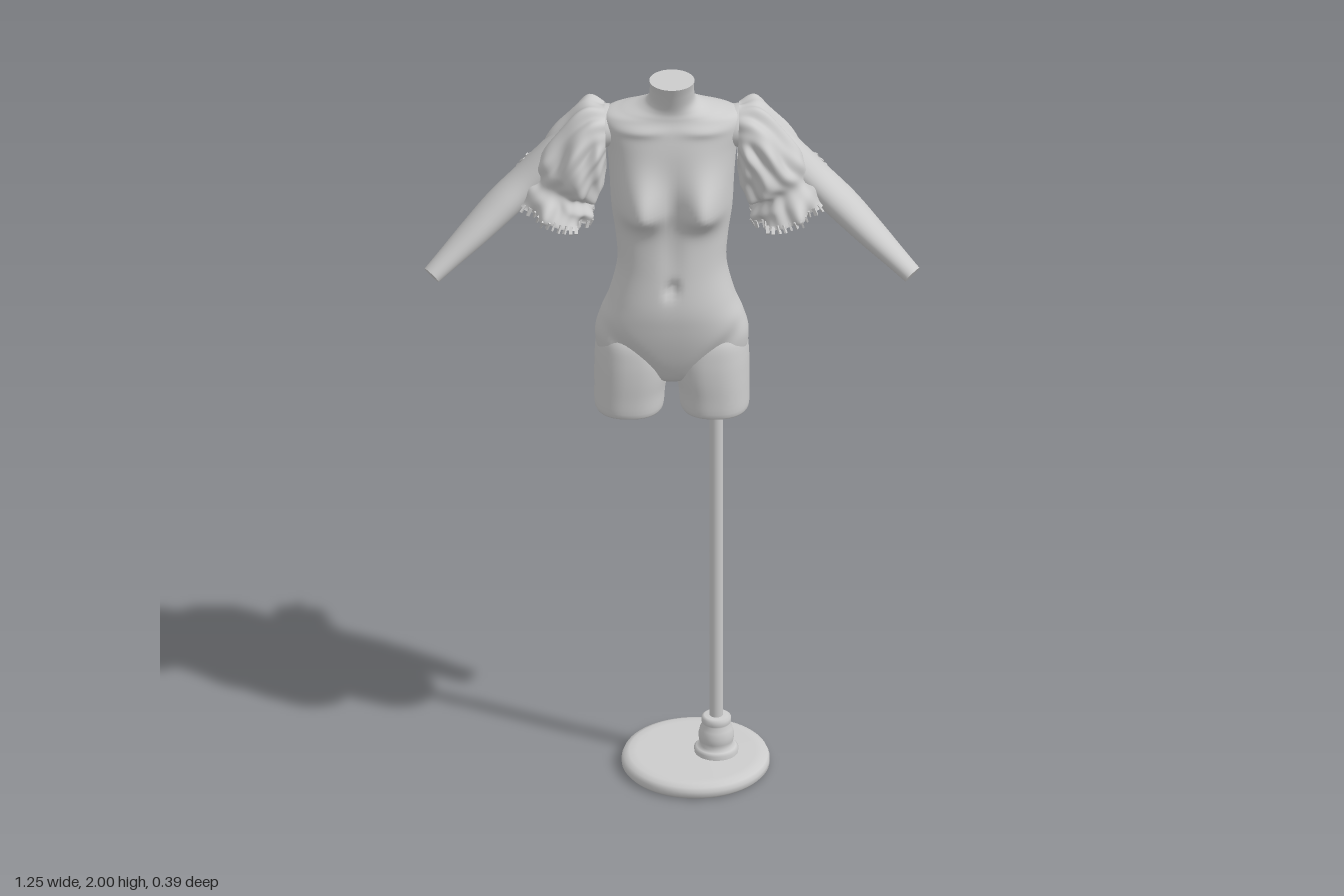
import * as THREE from 'three';
import { mergeGeometries } from 'three/addons/utils/BufferGeometryUtils.js';

const grey = new THREE.MeshStandardMaterial({ color: 0xcccccc, roughness: 0.8 });
const cloth = new THREE.MeshStandardMaterial({ color: 0xcccccc, roughness: 0.9, side: THREE.DoubleSide });
const gauss = (d, s) => Math.exp(-(d * d) / (2 * s * s));
const spow = (v, p) => Math.sign(v) * Math.abs(v) ** p;

// Catmull-Rom interpolation of rows of numbers, t in 0..1
function sample(rows, t) {
  const f = t * (rows.length - 1), i = Math.min(Math.floor(f), rows.length - 2), k = f - i;
  const at = (n) => rows[Math.max(0, Math.min(rows.length - 1, n))];
  const [a, b, c, d] = [at(i - 1), at(i), at(i + 1), at(i + 2)];
  return b.map((_, n) => b[n] + 0.5 * k * (c[n] - a[n] + k * (2 * a[n] - 5 * b[n] + 4 * c[n] - d[n]
    + k * (3 * (b[n] - c[n]) + d[n] - a[n]))));
}

// Skin of closed rings; point(t, angle) gives a Vector3. side -1 mirrors in x.
function loft(point, nRings, nSeg, { side = 1, capStart = false, capEnd = false } = {}) {
  const pos = [], idx = [];
  const tri = (a, b, c) => (side > 0 ? idx.push(a, b, c) : idx.push(a, c, b));
  const addRing = (t) => {
    const start = pos.length / 3;
    for (let i = 0; i < nSeg; i++) {
      const p = point(t, (i / nSeg) * Math.PI * 2);
      pos.push(p.x * side, p.y, p.z);
    }
    return start;
  };
  for (let j = 0; j <= nRings; j++) addRing(j / nRings);
  for (let j = 0; j < nRings; j++) for (let i = 0; i < nSeg; i++) {
    const a = j * nSeg + i, c = j * nSeg + ((i + 1) % nSeg);
    tri(a, a + nSeg, c);
    tri(c, a + nSeg, c + nSeg);
  }
  const cap = (t, end) => {
    const s = addRing(t), m = [0, 0, 0];
    for (let i = 0; i < nSeg; i++) for (let k = 0; k < 3; k++) m[k] += pos[(s + i) * 3 + k] / nSeg;
    pos.push(...m);
    for (let i = 0; i < nSeg; i++) {
      const a = s + i, b = s + ((i + 1) % nSeg);
      end ? tri(s + nSeg, b, a) : tri(s + nSeg, a, b);
    }
  };
  if (capStart) cap(0, false);
  if (capEnd) cap(1, true);
  const g = new THREE.BufferGeometry();
  g.setAttribute('position', new THREE.Float32BufferAttribute(pos, 3));
  g.setIndex(idx);
  g.computeVertexNormals();
  return g;
}

function mesh(name, geo, mat = grey) {
  const m = new THREE.Mesh(geo, mat);
  m.name = name;
  return m;
}

// Torso rows: height, half width, front z, back z
const TORSO = [
  [1.13, 0.03, 0.05, -0.03], [1.155, 0.1, 0.085, -0.05], [1.2, 0.176, 0.106, -0.075], [1.26, 0.194, 0.122, -0.092],
  [1.32, 0.181, 0.131, -0.09], [1.38, 0.158, 0.133, -0.086], [1.47, 0.138, 0.12, -0.077], [1.55, 0.142, 0.11, -0.077],
  [1.63, 0.153, 0.105, -0.087], [1.72, 0.158, 0.103, -0.1], [1.8, 0.165, 0.096, -0.104], [1.855, 0.177, 0.084, -0.098],
  [1.885, 0.17, 0.072, -0.084], [1.9, 0.13, 0.068, -0.07], [1.915, 0.085, 0.066, -0.058], [1.935, 0.061, 0.07, -0.045],
  [1.97, 0.056, 0.082, -0.03], [2.0, 0.057, 0.094, -0.016],
];
function torsoPoint(t, a) {
  const [y, hw, f, b] = sample(TORSO, t);
  const p = 0.84 + 0.16 * THREE.MathUtils.smoothstep(y, 1.86, 1.94);
  const c = Math.cos(a), s = Math.sin(a), zc = (f + b) / 2;
  const x = hw * spow(c, p);
  let z = zc + ((f - b) / 2) * spow(s, p);
  const ax = Math.abs(x), w = Math.min(1, Math.abs(s) * 1.6);
  if (s > 0) {
    z += w * 0.066 * gauss(ax - 0.08, 0.037) * gauss(y - 1.655, y > 1.655 ? 0.065 : 0.032); // breasts
    z -= w * 0.02 * gauss(x, 0.01) * gauss(y - 1.435, 0.014);                              // navel
    z -= 0.006 * gauss(x, 0.018) * gauss(y - 1.53, 0.07);                                   // midline
    z += w * 0.008 * gauss(y - 1.872 + ax * 0.05, 0.01) * gauss(ax - 0.08, 0.04);          // collarbones
    z -= w * 0.012 * gauss(ax - 0.11 - (y - 1.24) * 0.8, 0.02) * gauss(y - 1.24, 0.05);    // groin
  } else {
    z -= w * 0.042 * gauss(ax - 0.088, 0.055) * gauss(y - 1.235, 0.062);                   // buttocks
    z += 0.035 * gauss(x, 0.012) * gauss(y - 1.22, 0.07);                                   // cleft
    z += 0.013 * gauss(x, 0.02) * gauss(y - 1.58, 0.15);                                    // spine
    z -= w * 0.008 * gauss(ax - 0.09, 0.035) * gauss(y - 1.78, 0.05);                      // shoulder blades
  }
  return new THREE.Vector3(x, y, z);
}

// Thigh rows: height, inner x, outer x, front z, back z
const THIGH = [
  [1.052, 0.034, 0.183, 0.1, -0.062], [1.06, 0.021, 0.195, 0.114, -0.076], [1.11, 0.016, 0.196, 0.115, -0.09],
  [1.16, 0.006, 0.196, 0.115, -0.106], [1.21, 0.004, 0.194, 0.111, -0.11], [1.26, 0.02, 0.186, 0.1, -0.098],
  [1.3, 0.04, 0.165, 0.07, -0.06],
];
function thighPoint(t, a) {
  const [y, x0, x1, f, b] = sample(THIGH, t);
  return new THREE.Vector3((x0 + x1) / 2 + ((x1 - x0) / 2) * spow(Math.cos(a), 0.85), y,
    (f + b) / 2 + ((f - b) / 2) * spow(Math.sin(a), 0.85));
}

// Arm rows: centre x, y, z, thickness across, thickness in z
const ARM = [
  [0.13, 1.835, -0.015, 0.045, 0.06], [0.19, 1.835, -0.015, 0.056, 0.066], [0.27, 1.775, -0.01, 0.05, 0.062],
  [0.36, 1.695, 0.0, 0.042, 0.058], [0.43, 1.633, 0.025, 0.042, 0.058], [0.5, 1.572, 0.062, 0.036, 0.05],
  [0.56, 1.522, 0.097, 0.029, 0.038], [0.607, 1.483, 0.125, 0.024, 0.03],
];
function armPoint(t, a) {
  const [x, y, z, ru, rw] = sample(ARM, t);
  const p = sample(ARM, Math.max(0, t - 0.02)), q = sample(ARM, Math.min(1, t + 0.02));
  const dir = new THREE.Vector3(q[0] - p[0], q[1] - p[1], q[2] - p[2]).normalize();
  const w = new THREE.Vector3(0, 0, 1).addScaledVector(dir, -dir.z).normalize();
  const u = new THREE.Vector3().crossVectors(dir, w);
  return new THREE.Vector3(x, y, z).addScaledVector(u, ru * Math.cos(a)).addScaledVector(w, rw * Math.sin(a));
}

// Sleeve rows: outer x, y, inner x, y, front z, back z, fold depth, lift of the back
const SLEEVE = [
  [0.17, 1.9, 0.165, 1.755, 0.065, -0.085, 0.05, 0], [0.215, 1.905, 0.168, 1.72, 0.088, -0.105, 0.1, 0],
  [0.272, 1.855, 0.175, 1.68, 0.105, -0.115, 0.11, 0], [0.322, 1.785, 0.185, 1.65, 0.11, -0.105, 0.1, 0],
  [0.352, 1.735, 0.205, 1.64, 0.085, -0.085, 0.05, 0.01], [0.375, 1.7, 0.197, 1.612, 0.11, -0.13, 0.08, 0.025],
  [0.398, 1.655, 0.2, 1.59, 0.125, -0.172, 0.11, 0.04],
];
function sleevePoint(t, a) {
  const [ux, uy, lx, ly, f, b, fold, lift] = sample(SLEEVE, t);
  const wave = 0.5 * Math.sin(9 * a + 4 * t) + 0.3 * Math.sin(14 * a - 7 * t + 1) + 0.25 * Math.sin(5 * a + 13 * t);
  const r = 1 + fold * wave + 0.03 * Math.sin(23 * t + 3 * a);
  const c = Math.cos(a) * r, s = Math.sin(a) * r;
  return new THREE.Vector3((ux + lx) / 2 + ((lx - ux) / 2) * c,
    (uy + ly) / 2 + ((ly - uy) / 2) * c + lift * Math.max(0, -s), (f + b) / 2 + ((f - b) / 2) * s);
}

// Small tabs hanging along the cuff edge
function fringe(side) {
  const tabs = [], n = 44, flip = new THREE.Vector3(side, 1, 1);
  for (let i = 0; i < n; i++) {
    const a = (i / n) * Math.PI * 2;
    const p = sleevePoint(1, a).multiply(flip), back = sleevePoint(0.95, a).multiply(flip);
    const g = new THREE.BoxGeometry(0.009, 0.022, 0.005);
    g.applyQuaternion(new THREE.Quaternion().setFromUnitVectors(new THREE.Vector3(0, 1, 0), p.clone().sub(back).normalize()));
    tabs.push(g.translate(p.x, p.y, p.z));
  }
  return mergeGeometries(tabs);
}

const lathe = (pts, n = 48) => new THREE.LatheGeometry(pts.map((p) => new THREE.Vector2(...p)), n);

export function createModel() {
  const model = new THREE.Group();
  model.name = 'dressForm';

  // Body
  model.add(mesh('torso', loft(torsoPoint, 130, 96, { capStart: true, capEnd: true })));
  for (const side of [1, -1]) {
    const word = side > 0 ? 'left' : 'right';
    model.add(mesh(word + 'Thigh', loft(thighPoint, 24, 48, { side, capStart: true, capEnd: true })));
    model.add(mesh(word + 'Arm', loft(armPoint, 40, 32, { side, capStart: true, capEnd: true })));
    model.add(mesh(word + 'Sleeve', loft(sleevePoint, 48, 140, { side }), cloth));
    model.add(mesh(word + 'SleeveFringe', fringe(side), cloth));
  }

  // Stand: round foot, turned collar and pole set off to one side
  const foot = mesh('standBase', lathe([[0, 0], [0.18, 0], [0.187, 0.008], [0.187, 0.02], [0.182, 0.031],
    [0.168, 0.037], [0.15, 0.038], [0, 0.04]], 64));
  foot.position.set(0.06, 0, 0.012);
  const collar = mesh('poleCollar', lathe([[0.055, 0.03], [0.056, 0.05], [0.05, 0.056], [0.04, 0.06], [0.044, 0.075],
    [0.045, 0.09], [0.041, 0.108], [0.034, 0.12], [0.037, 0.125], [0.037, 0.138], [0.03, 0.143], [0, 0.143]]));
  collar.position.set(0.112, 0, 0.013);
  const pole = mesh('pole', new THREE.CylinderGeometry(0.017, 0.017, 0.96, 32));
  pole.position.set(0.112, 0.6, 0.013);
  model.add(foot, collar, pole);
  return model;
}
